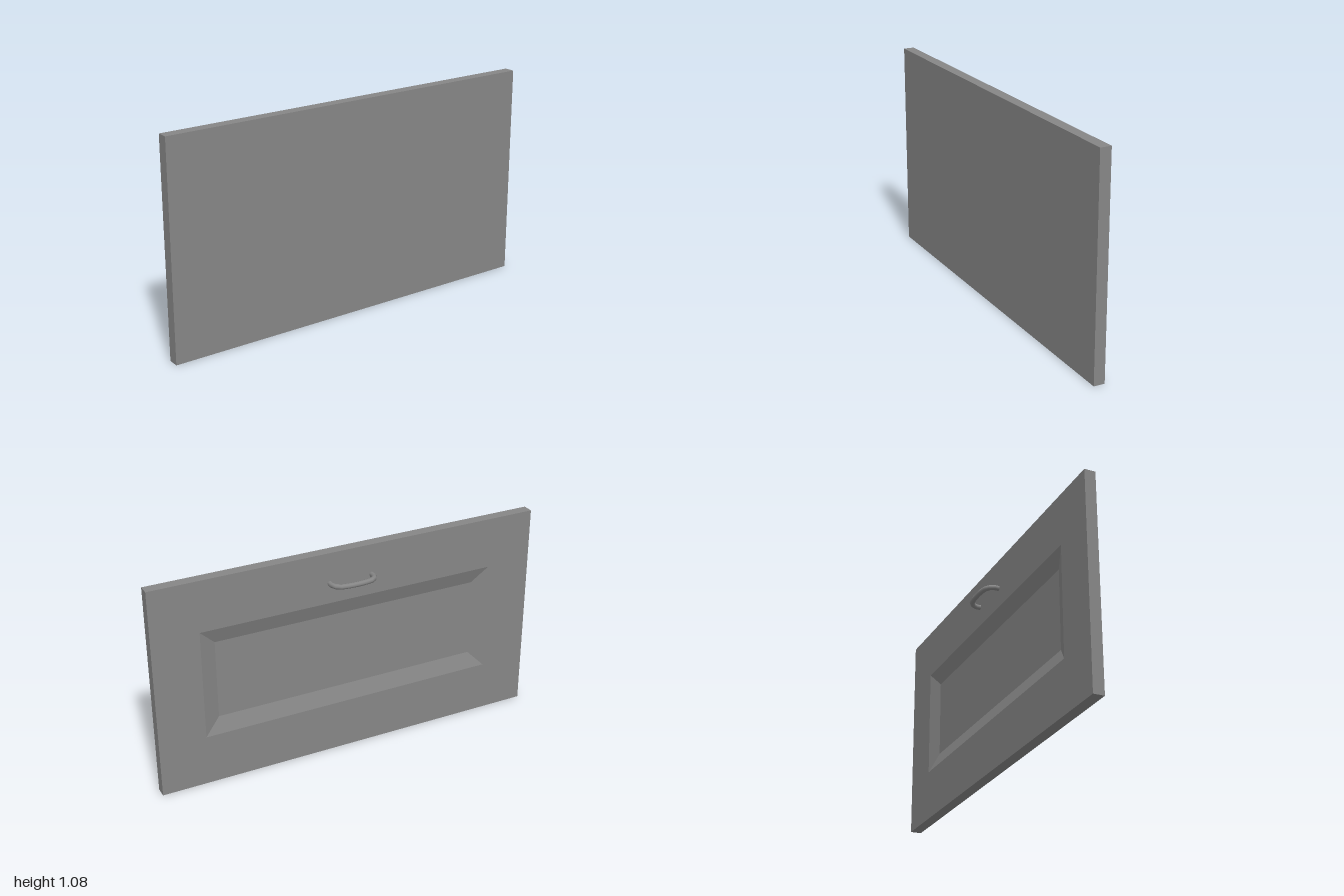
import * as THREE from 'three';

const FACE_X = 0.011, BACK_X = 0.066, HEIGHT = 1.075;

// Rectangle of corners in the plane x, inset from the panel's edges
function rectLoop(x, insetZ, insetY) {
  const z = 1 - insetZ, y0 = insetY, y1 = HEIGHT - insetY;
  return [[x, y0, -z], [x, y0, z], [x, y1, z], [x, y1, -z]];
}

// Flat-faced skin over successive rectangles, closed at both ends
function loftRects(loops) {
  const pos = [];
  const quad = (a, b, c, d) => pos.push(...a, ...b, ...c, ...a, ...c, ...d);
  const first = loops[0], last = loops[loops.length - 1];
  quad(first[3], first[2], first[1], first[0]);
  for (let i = 0; i < loops.length - 1; i++) {
    const a = loops[i], b = loops[i + 1];
    for (let j = 0; j < 4; j++) {
      const k = (j + 1) % 4;
      quad(a[j], a[k], b[k], b[j]);
    }
  }
  quad(...last);
  const geo = new THREE.BufferGeometry();
  geo.setAttribute('position', new THREE.Float32BufferAttribute(pos, 3));
  geo.computeVertexNormals();
  return geo;
}

export function createModel() {
  const group = new THREE.Group();
  group.name = 'drawerFront';
  const material = new THREE.MeshStandardMaterial({ color: 0x868686 });

  // Slab with a shallow bevelled recess in its handle side
  const panel = new THREE.Mesh(loftRects([
    rectLoop(BACK_X, 0, 0),
    rectLoop(FACE_X, 0, 0),
    rectLoop(FACE_X, 0.235, 0.258),
    rectLoop(FACE_X + 0.028, 0.314, 0.338),
  ]), material);
  panel.name = 'panel';
  group.add(panel);

  // Bow handle: two legs bending into a shallow arc
  const half = [[0.016, 0.11], [-0.018, 0.109], [-0.043, 0.087], [-0.052, 0.05]];
  const points = [
    ...half.map(([x, z]) => new THREE.Vector3(x, 0.92, -z)),
    new THREE.Vector3(-0.0545, 0.92, 0),
    ...half.slice().reverse().map(([x, z]) => new THREE.Vector3(x, 0.92, z)),
  ];
  const handle = new THREE.Mesh(
    new THREE.TubeGeometry(new THREE.CatmullRomCurve3(points), 12, 0.013, 8), material);
  handle.name = 'handle';
  group.add(handle);

  return group;
}
